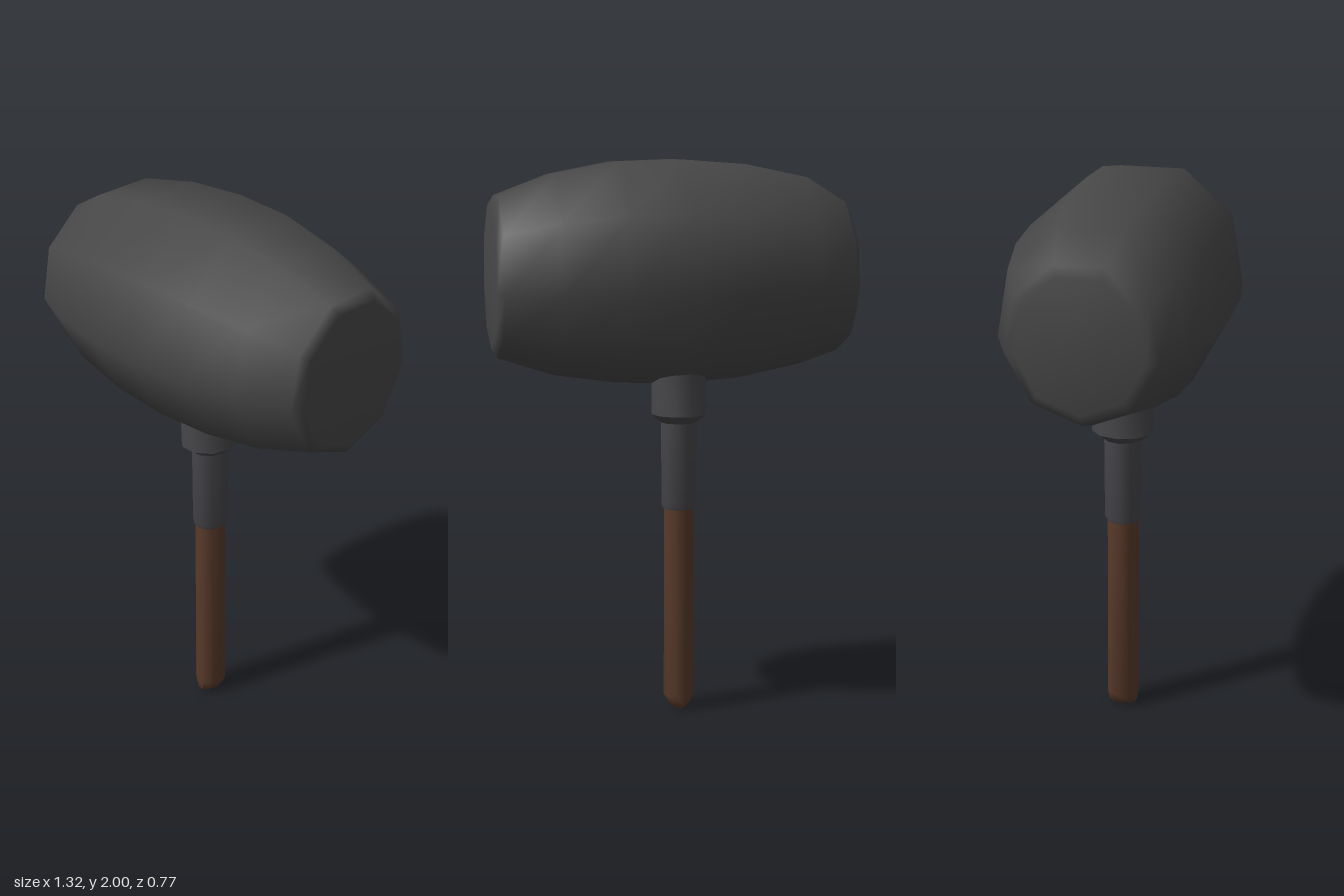
import * as THREE from 'three';
import { toCreasedNormals } from 'three/addons/utils/BufferGeometryUtils.js';

// Skins a list of rings; place(ring, angle) gives a ring point, ends are the two cap centres.
function loft(rings, sides, place, ends, phase = 0) {
  const pos = [], idx = [];
  for (const r of rings)
    for (let j = 0; j < sides; j++) pos.push(...place(r, phase + (j / sides) * Math.PI * 2));
  const a = pos.length / 3, b = a + 1, last = (rings.length - 1) * sides;
  pos.push(...ends[0], ...ends[1]);
  for (let j = 0; j < sides; j++) {
    const k = (j + 1) % sides;
    for (let i = 0; i < last; i += sides)
      idx.push(i + j, i + k, i + sides + j, i + k, i + sides + k, i + sides + j);
    idx.push(a, k, j, b, last + j, last + k);
  }
  const geo = new THREE.BufferGeometry();
  geo.setAttribute('position', new THREE.Float32BufferAttribute(pos, 3));
  geo.setIndex(idx);
  geo.computeVertexNormals();
  return geo;
}

export function createModel() {
  const group = new THREE.Group();
  const rubber = new THREE.MeshStandardMaterial({ name: 'dark rubber', color: 0x474747 });
  const metal = new THREE.MeshStandardMaterial({ name: 'grey metal', color: 0x47474a });
  const wood = new THREE.MeshStandardMaterial({ name: 'brown wood', color: 0x5a3b2b });
  const add = (name, geo, mat) => {
    const mesh = new THREE.Mesh(geo, mat);
    mesh.name = name;
    group.add(mesh);
  };

  // Barrel head: nine-sided rings along x as [x, centre height, scale]
  const headRings = [
    [-0.64, 1.59, 0.58], [-0.617, 1.589, 0.675], [-0.472, 1.61, 0.845],
    [-0.245, 1.612, 0.96], [-0.02, 1.6125, 1], [0.2, 1.612, 0.98],
    [0.425, 1.605, 0.885], [0.62, 1.598, 0.715], [0.643, 1.597, 0.625],
  ];
  add('head', loft(headRings, 9,
    ([x, c, s], t) => [x, c + 0.4124 * s * Math.cos(t), 0.391 * s * Math.sin(t)],
    [[-0.663, 1.59, 0], [0.66, 1.597, 0]], Math.PI / 9), rubber);

  // Shaft parts: upright rings as [y, x radius, z radius]
  const cx = -0.032;
  const shaft = (name, rings, mat) => {
    const top = rings[rings.length - 1][0];
    const geo = loft(rings, 10,
      ([y, rx, rz], t) => [cx + rx * Math.sin(t), y, rz * Math.cos(t)],
      [[cx, rings[0][0], 0], [cx, top, 0]], Math.PI / 10);
    add(name, toCreasedNormals(geo, 0.8), mat);
  };
  shaft('collar', [[1.06, 0.066, 0.07], [1.09, 0.1, 0.113], [1.3, 0.1, 0.113]], metal);
  shaft('ferrule', [[0.745, 0.058, 0.06], [0.76, 0.063, 0.067], [1.1, 0.066, 0.069]], metal);
  shaft('handle', [[0, 0.012, 0.04], [0.015, 0.036, 0.054], [0.05, 0.056, 0.058], [0.78, 0.054, 0.057]], wood);
  return group;
}
